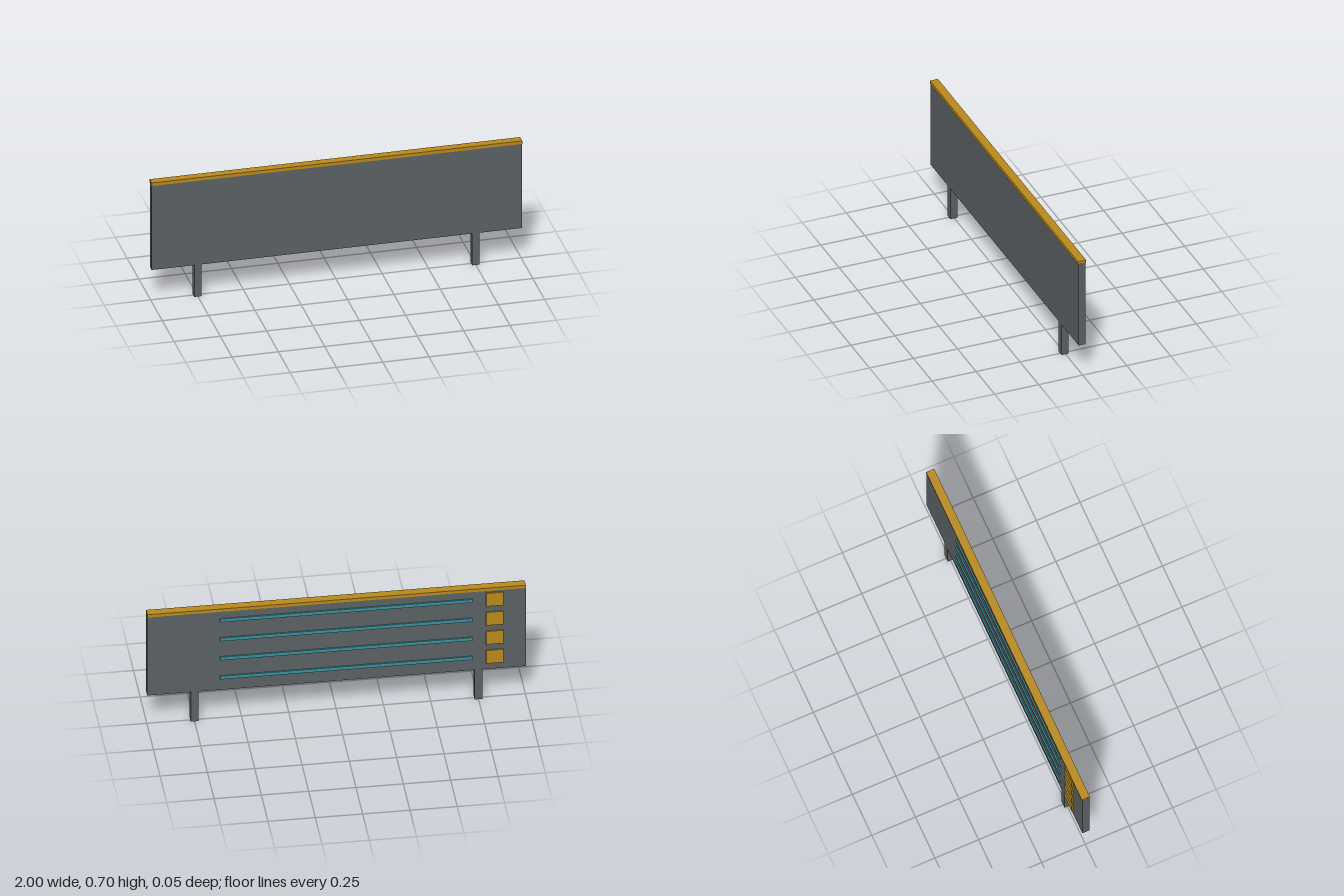
import * as THREE from 'three';

const slate = new THREE.MeshStandardMaterial({ name: 'slate grey', color: 0x5a6063 });
const gold = new THREE.MeshStandardMaterial({ name: 'gold', color: 0xb8891d });
const teal = new THREE.MeshStandardMaterial({ name: 'teal', color: 0x3c8f9b });

// Box given by its minimum and maximum corners
function block(name, material, [x0, y0, z0], [x1, y1, z1]) {
  const mesh = new THREE.Mesh(new THREE.BoxGeometry(x1 - x0, y1 - y0, z1 - z0), material);
  mesh.position.set((x0 + x1) / 2, (y0 + y1) / 2, (z0 + z1) / 2);
  mesh.name = name;
  return mesh;
}

export function createModel() {
  const model = new THREE.Group();
  model.name = 'signBoard';
  const front = 0.023, back = -0.017;

  // Main board and the trim along its top edge
  model.add(block('board', slate, [-1, 0.186, back], [1, 0.682, front]));
  model.add(block('topTrim', gold, [-0.9995, 0.679, -0.02], [0.9995, 0.697, 0.026]));

  // Two short posts
  for (const [name, x] of [['leftPost', 0.75], ['rightPost', -0.75]]) {
    model.add(block(name, slate, [x - 0.02, 0, back], [x + 0.02, 0.186, front]));
  }

  // Four rows on the back: a square marker and a long line
  for (let i = 0; i < 4; i++) {
    const y = 0.266 + i * 0.12;
    const row = new THREE.Group();
    row.name = `row${i + 1}`;
    row.add(block('marker', gold, [-0.88, y - 0.041, -0.0245], [-0.79, y + 0.041, back]));
    row.add(block('line', teal, [-0.718, y - 0.01, -0.0245], [0.615, y + 0.01, back]));
    model.add(row);
  }
  return model;
}
